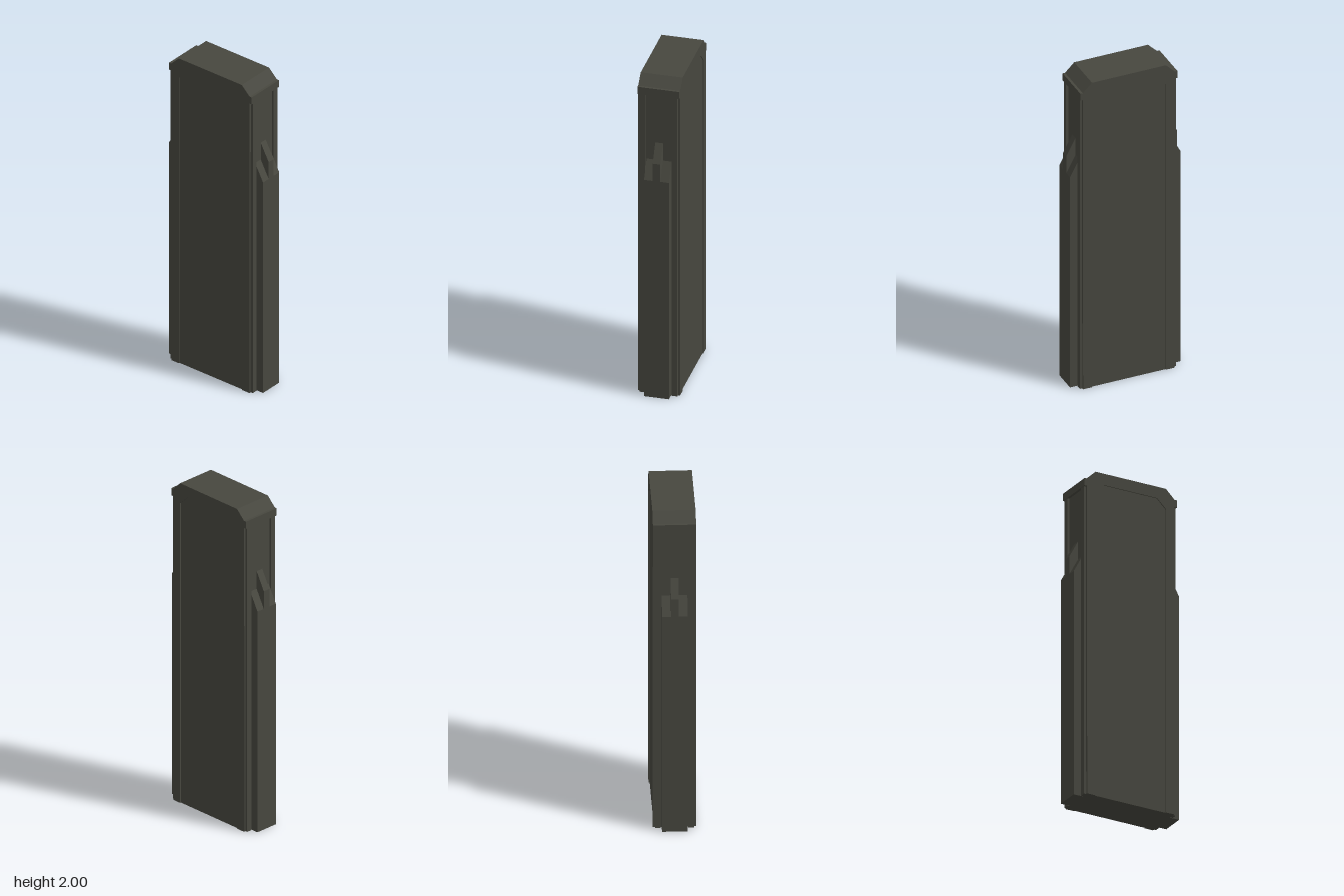
import * as THREE from 'three';

export function createModel() {
  const group = new THREE.Group();
  const metal = new THREE.MeshStandardMaterial({ color: 0x47473f });
  metal.name = 'darkOliveMetal';
  metal.flatShading = true;

  // Extrude an xy outline between two z values
  const slab = (name, points, z0, z1) => {
    const shape = new THREE.Shape(points.map(([x, y]) => new THREE.Vector2(x, y)));
    const geo = new THREE.ExtrudeGeometry(shape, { depth: z1 - z0, bevelEnabled: false });
    geo.translate(0, 0, z0);
    const mesh = new THREE.Mesh(geo, metal);
    mesh.name = name;
    group.add(mesh);
  };
  const rect = (x0, x1, y0, y1) => [[x0, y0], [x1, y0], [x1, y1], [x0, y1]];

  // Main casing with chamfered shoulders
  const shoulder = [[0.283, 1.945], [0.227, 2], [-0.227, 2], [-0.283, 1.945]];
  slab('casing', [[-0.283, 0], [0.283, 0], ...shoulder], -0.115, 0.115);

  // Raised rim around the sunken panel, open at the bottom, front and back
  const rim = [
    [0.227, 0], [0.281, 0], ...shoulder, [-0.281, 0], [-0.227, 0],
    [-0.227, 1.875], [-0.17, 1.93], [0.17, 1.93], [0.227, 1.875],
  ];
  slab('frontRim', rim, 0.115, 0.121);
  slab('backRim', rim, -0.121, -0.115);

  for (const [side, s] of [['left', 1], ['right', -1]]) {
    const mirror = (pts) => pts.map(([x, y]) => [x * s, y]);

    // Lip closing the top of the side channel
    slab(side + 'Lip', mirror(rect(0.28, 0.298, 1.9, 1.945)), -0.121, 0.121);

    // Flanges on both edges of the side channel
    for (const [end, z0, z1] of [['Front', 0.077, 0.109], ['Back', -0.109, -0.077]]) {
      slab(side + end + 'Flange', mirror(rect(0.28, 0.296, 0, 1.9)), z0, z1);
    }

    // Spine with sloped top: the middle band ends higher than its neighbours
    const spine = (top) => mirror([[0.28, 0], [0.34, 0], [0.34, top], [0.28, top + 0.112]]);
    slab(side + 'SpineFront', spine(1.38), 0.022, 0.072);
    slab(side + 'SpineMiddle', spine(1.49), -0.022, 0.022);
    slab(side + 'SpineBack', spine(1.38), -0.072, -0.022);
  }
  return group;
}
